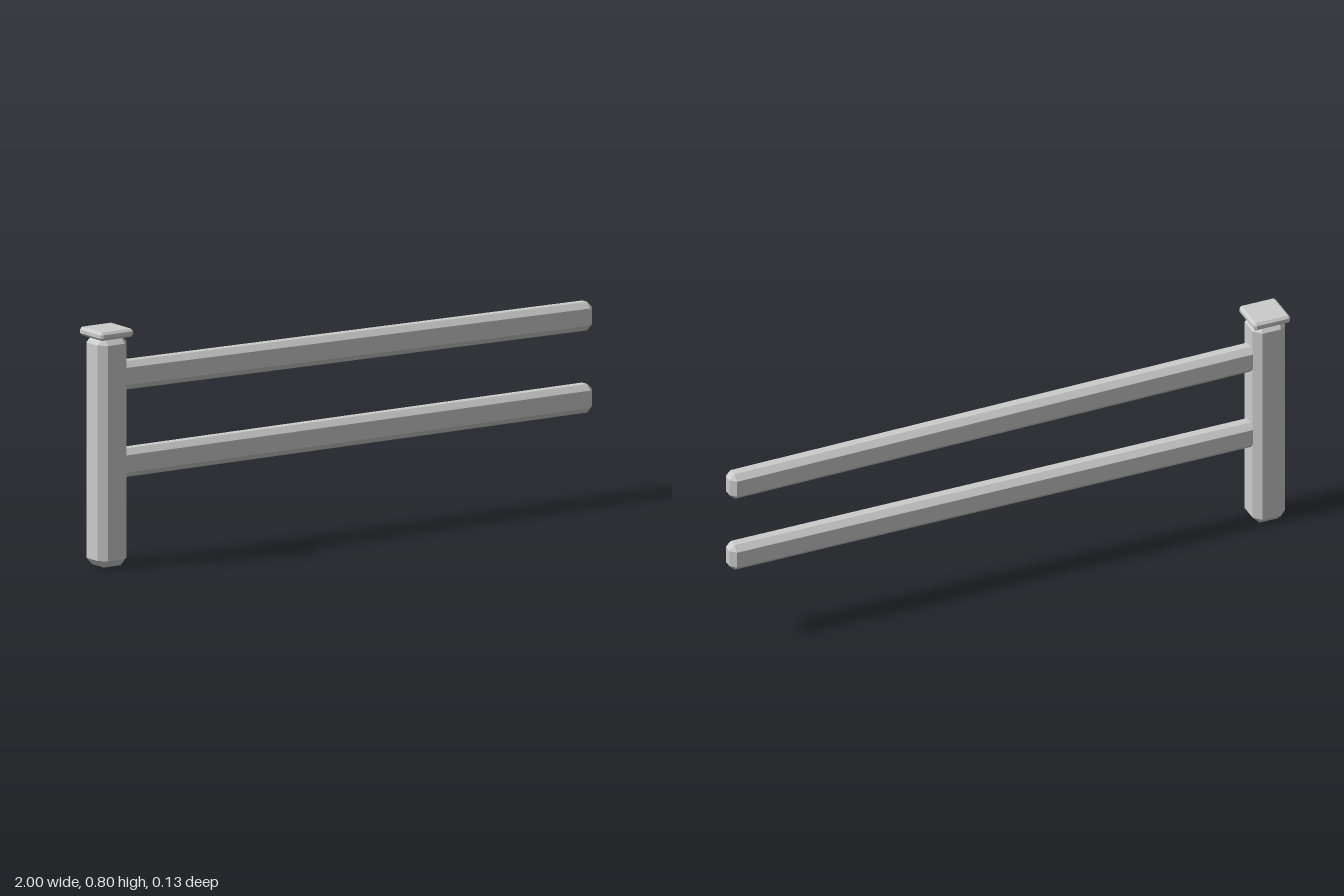
import * as THREE from 'three';
import { ConvexGeometry } from 'three/addons/geometries/ConvexGeometry.js';

const material = new THREE.MeshStandardMaterial({ color: 0xcccccc, flatShading: true });

// Box with every edge and corner cut off by a chamfer c
function chamferedBox(name, w, h, d, c) {
  const [x, y, z] = [w / 2, h / 2, d / 2];
  const points = [];
  for (const sx of [-1, 1]) for (const sy of [-1, 1]) for (const sz of [-1, 1]) {
    points.push(
      new THREE.Vector3(sx * x, sy * (y - c), sz * (z - c)),
      new THREE.Vector3(sx * (x - c), sy * y, sz * (z - c)),
      new THREE.Vector3(sx * (x - c), sy * (y - c), sz * z)
    );
  }
  const mesh = new THREE.Mesh(new ConvexGeometry(points), material);
  mesh.name = name;
  return mesh;
}

export function createModel() {
  const group = new THREE.Group();
  group.name = 'fenceSection';
  const postX = -0.934;

  // Upright post
  const post = chamferedBox('post', 0.116, 0.775, 0.116, 0.025);
  post.position.set(postX, 0.3875, 0);
  group.add(post);

  // Flat cap overhanging the post
  const cap = chamferedBox('postCap', 0.132, 0.028, 0.132, 0.008);
  cap.position.set(postX, 0.784, 0);
  group.add(cap);

  // Two rails running out of the post, the upper one sagging slightly
  const rails = [
    { name: 'upperRail', postY: 0.633, endY: 0.61 },
    { name: 'lowerRail', postY: 0.338, endY: 0.334 },
  ];
  const startX = -0.93, endX = 1;
  for (const { name, postY, endY } of rails) {
    const rail = chamferedBox(name, endX - startX, 0.096, 0.067, 0.019);
    rail.position.set((startX + endX) / 2, (postY + endY) / 2, 0);
    rail.rotation.z = Math.atan2(endY - postY, endX - startX);
    group.add(rail);
  }
  return group;
}
